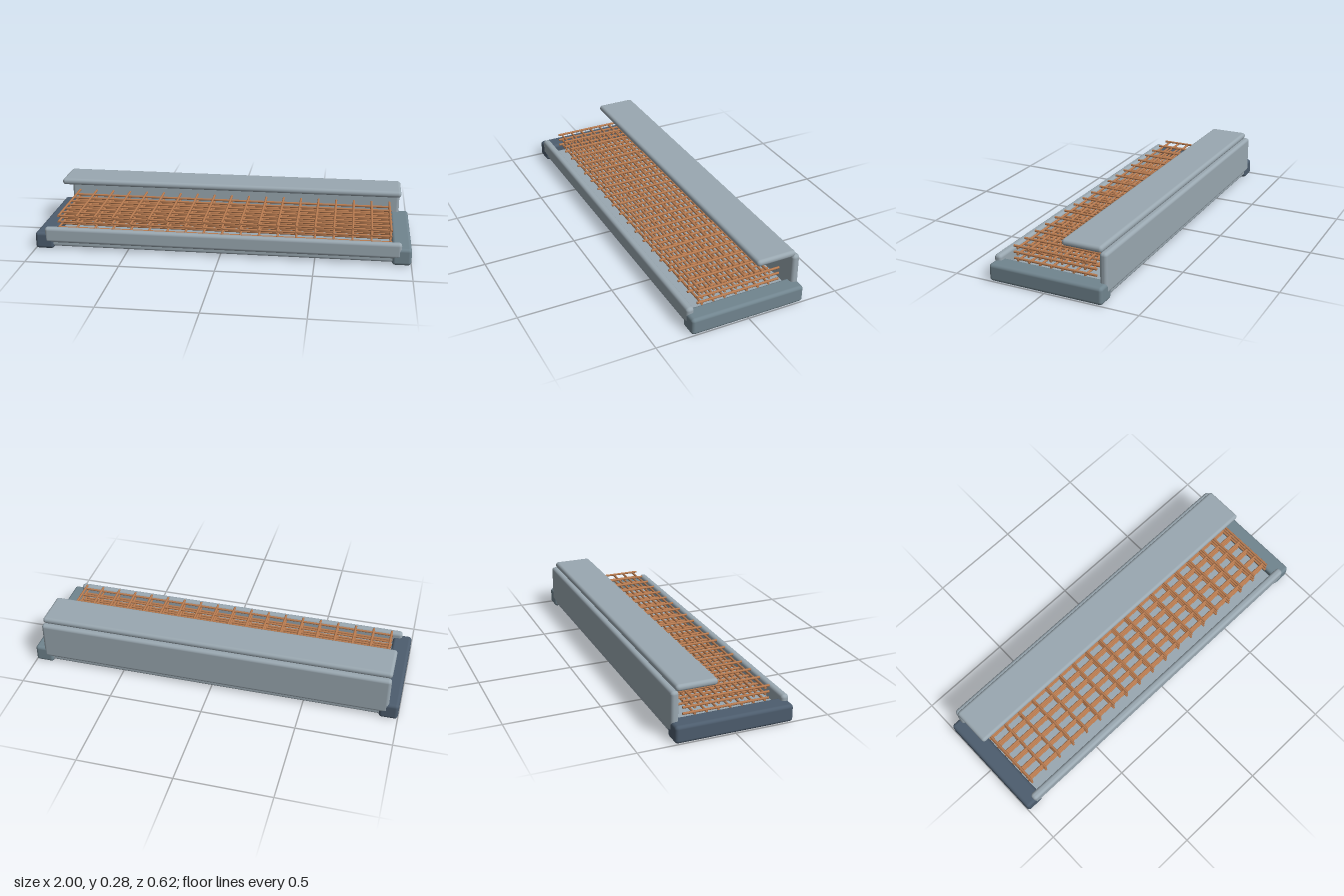
import * as THREE from 'three';
import { RoundedBoxGeometry } from 'three/addons/geometries/RoundedBoxGeometry.js';

export function createModel() {
  const model = new THREE.Group();
  model.name = 'cableTray';

  const mat = (name, color) => {
    const m = new THREE.MeshStandardMaterial({ color });
    m.name = name;
    return m;
  };
  const steel = mat('paleSteel', 0x9aa8b1);
  const slate = mat('slateGrey', 0x71858f);
  const navy = mat('darkSlateBlue', 0x4d5d6e);
  const copper = mat('copper', 0xb87b50);

  // Rounded slab given by its lower and upper corners
  const slab = (name, material, min, max, radius) => {
    const size = max.map((v, i) => v - min[i]);
    const mesh = new THREE.Mesh(new RoundedBoxGeometry(...size, 3, radius), material);
    mesh.position.set(...max.map((v, i) => (v + min[i]) / 2));
    mesh.name = name;
    model.add(mesh);
  };

  // Tray: floor, front lip, back wall and overhanging top flange
  slab('floor', steel, [-0.95, 0.014, -0.3], [0.95, 0.05, 0.3], 0.012);
  slab('frontLip', steel, [-0.948, 0.036, 0.27], [0.948, 0.12, 0.311], 0.017);
  slab('backWall', steel, [-0.948, 0.036, -0.31], [0.948, 0.245, -0.269], 0.017);
  slab('topFlange', steel, [-0.948, 0.24, -0.285], [0.948, 0.275, -0.07], 0.0165);

  // End caps
  slab('rightEndCap', navy, [-1, 0, -0.309], [-0.9, 0.091, 0.309], 0.017);
  slab('leftEndCap', slate, [0.9, 0, -0.309], [1, 0.091, 0.309], 0.017);

  // Three stacked layers of wire mesh
  const crossWire = new THREE.CylinderGeometry(0.0062, 0.0062, 0.456, 10).rotateX(Math.PI / 2);
  const longWire = new THREE.CylinderGeometry(0.0062, 0.0062, 1.8, 10).rotateZ(Math.PI / 2);
  [0.095, 0.128, 0.161].forEach((y, layer) => {
    const mesh = new THREE.Group();
    mesh.name = 'wireMesh' + (layer + 1);
    for (let i = 0; i < 19; i++) {
      const wire = new THREE.Mesh(crossWire, copper);
      wire.position.set((i - 9) * 0.099, y, 0);
      wire.name = 'crossWire';
      mesh.add(wire);
    }
    for (let i = 0; i < 7; i++) {
      const wire = new THREE.Mesh(longWire, copper);
      wire.position.set(0, y - 0.007, 0.204 - i * 0.062);
      wire.name = 'longWire';
      mesh.add(wire);
    }
    model.add(mesh);
  });

  return model;
}
